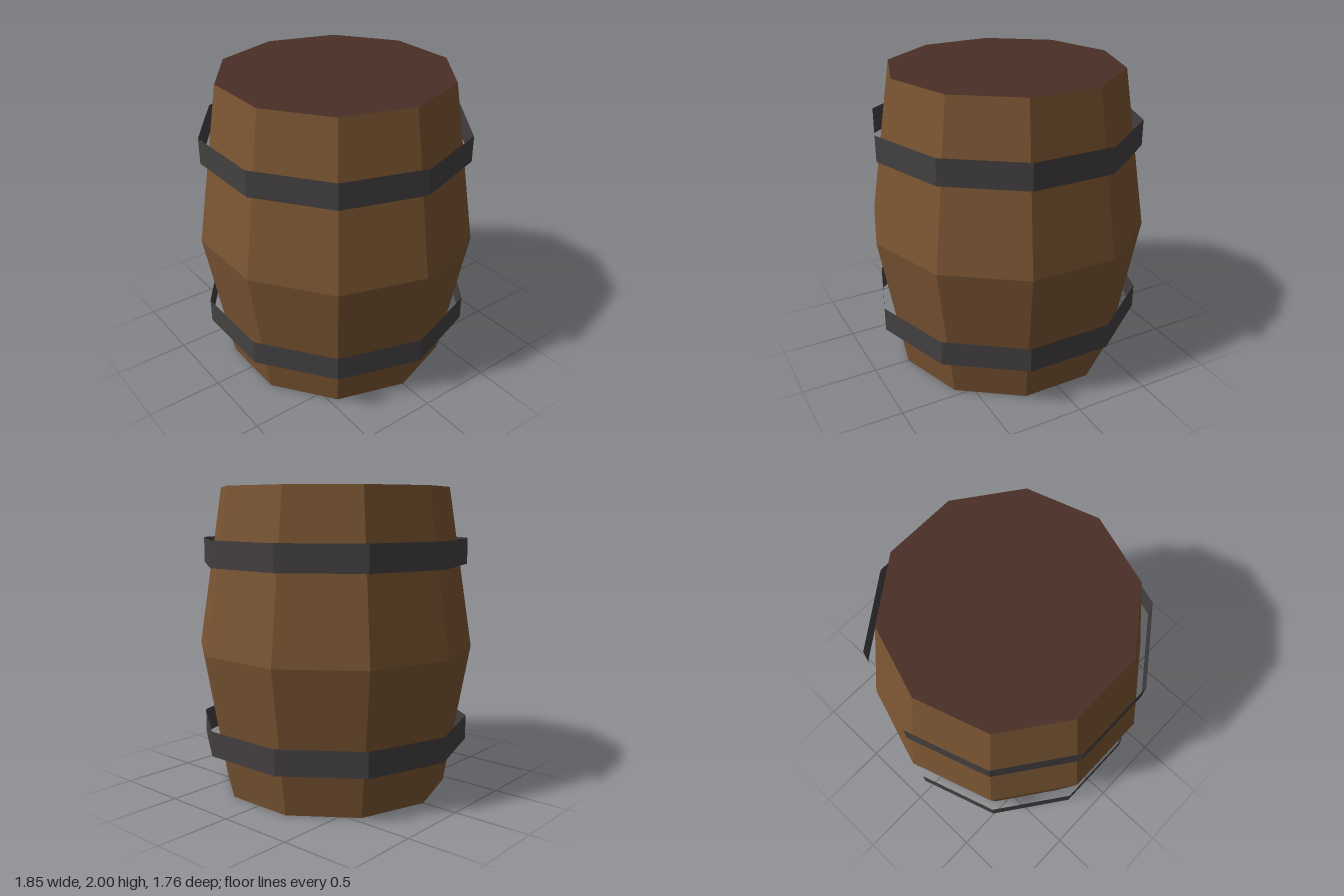
import * as THREE from 'three';

const SIDES = 10;
const START = Math.PI / SIDES; // puts corners on the x axis

export function createModel() {
  const wood = new THREE.MeshStandardMaterial({ color: 0x7a5532, flatShading: true });
  wood.name = 'stave wood';
  const darkWood = new THREE.MeshStandardMaterial({ color: 0x4a2e26, flatShading: true });
  darkWood.name = 'dark lid wood';
  const iron = new THREE.MeshStandardMaterial({ color: 0x444041, flatShading: true, side: THREE.DoubleSide });
  iron.name = 'hoop iron';

  const barrel = new THREE.Group();
  barrel.name = 'barrel';
  const add = (name, geometry, material, y) => {
    const mesh = new THREE.Mesh(geometry, material);
    mesh.name = name;
    mesh.position.y = y;
    barrel.add(mesh);
    return mesh;
  };

  // Open ten-sided ring between two heights
  const ring = (name, rTop, rBottom, y0, y1, material) =>
    add(name, new THREE.CylinderGeometry(rTop, rBottom, y1 - y0, SIDES, 1, true, START), material, (y0 + y1) / 2);

  // Staves, widest at the belly
  ring('lowerStaves', 0.925, 0.76, 0, 0.95, wood);
  ring('upperStaves', 0.76, 0.925, 0.95, 2, wood);

  // Flat lid and base
  const disc = () => new THREE.CircleGeometry(0.76, SIDES);
  add('lid', disc(), darkWood, 2).rotation.x = -Math.PI / 2;
  add('base', disc(), darkWood, 0).rotation.x = Math.PI / 2;

  // Thin hoops standing off the staves
  ring('lowerHoop', 0.905, 0.905, 0.3, 0.465, iron);
  ring('upperHoop', 0.885, 0.885, 1.5, 1.67, iron);

  return barrel;
}
